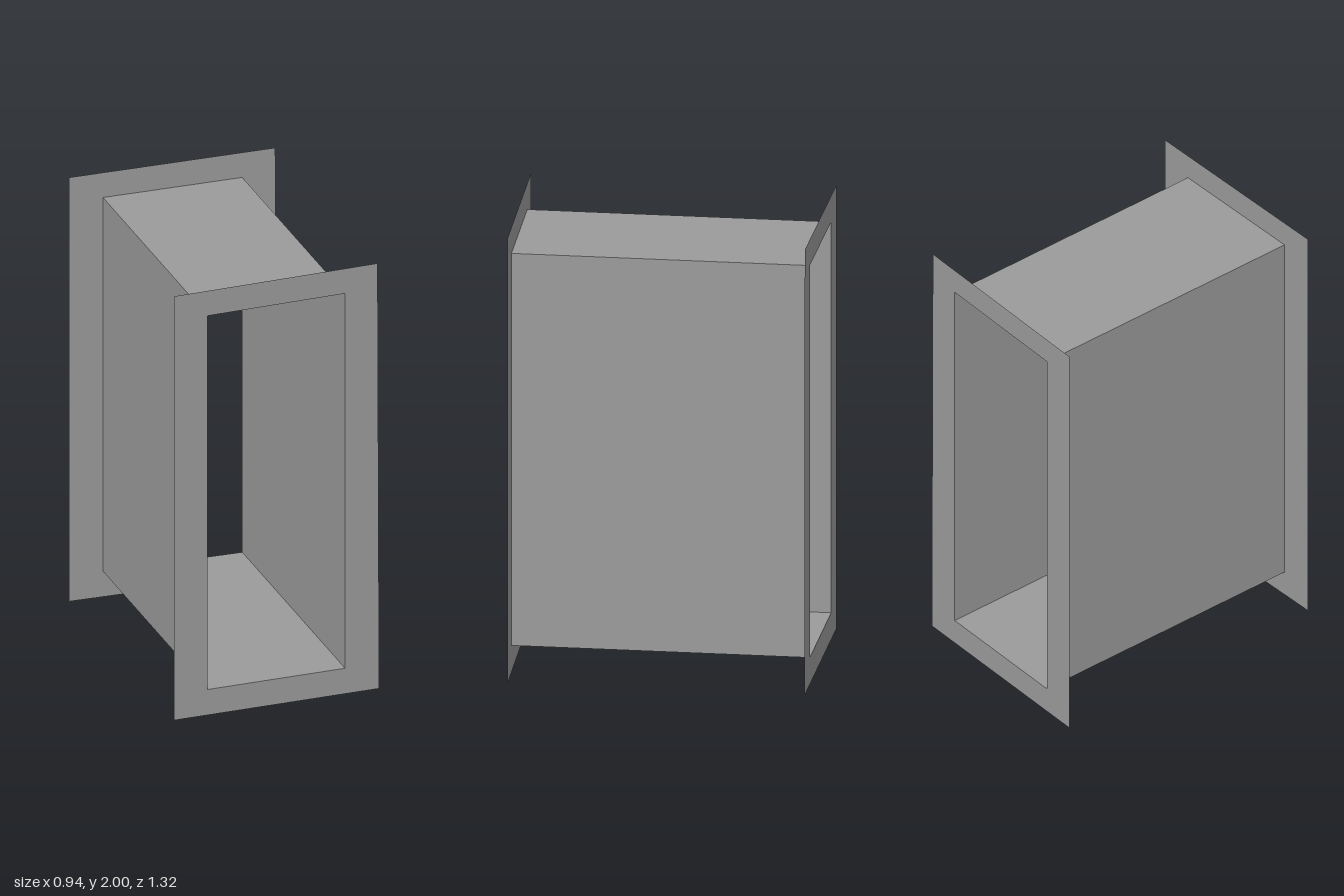
import * as THREE from 'three';

const material = new THREE.MeshStandardMaterial({ color: 0x9b9b9b, side: THREE.DoubleSide, flatShading: true });

// The two open ends are very slightly out of square
const frontZ = (x) => 0.647 - 0.028 * x;
const backZ = (x) => -0.656 + 0.01 * x;

// Corner loops, counter-clockwise as seen from the front
const outer = [[-0.475, 0.007], [0.47, 0], [0.463, 2], [-0.475, 2]];
const inner = [[-0.32, 0.126], [0.313, 0.121], [0.313, 1.883], [-0.32, 1.883]];
const toPoints = (loop) => loop.map(([x, y]) => new THREE.Vector2(x, y));

// Flat rectangular collar around one end of the duct
function createFlange(name, zAt, facesBack) {
  const shape = new THREE.Shape(toPoints(outer));
  shape.holes.push(new THREE.Path(toPoints(inner)));
  const geometry = new THREE.ShapeGeometry(shape);
  const p = geometry.attributes.position;
  for (let i = 0; i < p.count; i++) p.setZ(i, zAt(p.getX(i)));
  if (facesBack) geometry.setIndex([...geometry.index.array].reverse());
  geometry.computeVertexNormals();
  const mesh = new THREE.Mesh(geometry, material);
  mesh.name = name;
  return mesh;
}

// Four thin walls joining the two openings
function createDuct() {
  const positions = [];
  inner.forEach(([x0, y0], i) => {
    const [x1, y1] = inner[(i + 1) % inner.length];
    const a = [x0, y0, frontZ(x0)];
    const b = [x0, y0, backZ(x0)];
    const c = [x1, y1, backZ(x1)];
    const d = [x1, y1, frontZ(x1)];
    positions.push(...a, ...b, ...c, ...a, ...c, ...d);
  });
  const geometry = new THREE.BufferGeometry();
  geometry.setAttribute('position', new THREE.Float32BufferAttribute(positions, 3));
  geometry.computeVertexNormals();
  const mesh = new THREE.Mesh(geometry, material);
  mesh.name = 'ductWalls';
  return mesh;
}

export function createModel() {
  const group = new THREE.Group();
  group.name = 'flangedDuct';
  group.add(
    createDuct(),
    createFlange('frontFlange', frontZ, false),
    createFlange('backFlange', backZ, true),
  );
  return group;
}
